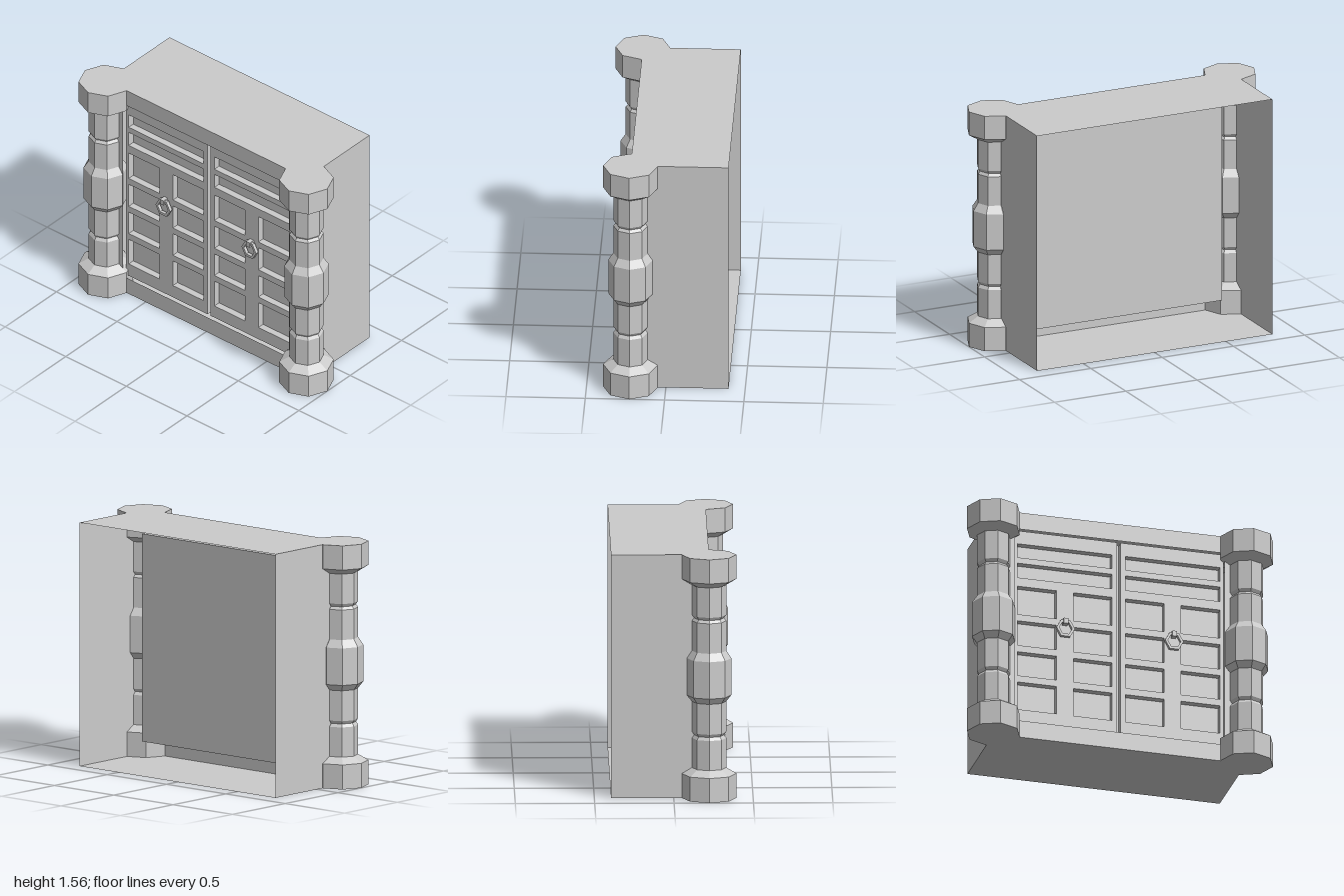
import * as THREE from 'three';

const grey = new THREE.MeshStandardMaterial({ color: 0xcccccc, flatShading: true });
const sheet = new THREE.MeshStandardMaterial({ color: 0xcccccc, flatShading: true, side: THREE.DoubleSide });

const W = 0.825, H = 1.56, BACK = -0.395, FRONT = 0.222;

function add(parent, name, geometry, material = grey, x = 0, y = 0, z = 0) {
  const mesh = new THREE.Mesh(geometry, material);
  mesh.name = name;
  mesh.position.set(x, y, z);
  parent.add(mesh);
  return mesh;
}

// Rectangle outline, as a shape or as a hole
function rect(Type, x0, y0, x1, y1) {
  const p = new Type();
  p.moveTo(x0, y0);
  p.lineTo(x1, y0);
  p.lineTo(x1, y1);
  p.lineTo(x0, y1);
  p.closePath();
  return p;
}

// Thin cabinet shell, open at the back
function addShell(group) {
  const depth = FRONT - BACK, midZ = (FRONT + BACK) / 2;
  for (const [name, y] of [['floor', 0], ['ceiling', H]]) {
    add(group, name, new THREE.PlaneGeometry(2 * W, depth), sheet, 0, y, midZ).rotation.x = -Math.PI / 2;
  }
  for (const s of [-1, 1]) {
    add(group, 'sideWall', new THREE.PlaneGeometry(depth, H), sheet, s * W, H / 2, midZ).rotation.y = s * Math.PI / 2;
  }
  // Front frame around the doors
  const frame = rect(THREE.Shape, -W, 0, W, H);
  frame.holes.push(rect(THREE.Path, -0.685, 0.115, 0.685, 1.445));
  add(group, 'frontFrame', new THREE.ShapeGeometry(frame), sheet, 0, 0, FRONT);
}

// Turned eight-sided column with base, rings, swelling and capital
function addPillar(group, side) {
  const profile = [
    [0, 0], [0.172, 0], [0.172, 0.157], [0.108, 0.195], [0.108, 0.385], [0.094, 0.405], [0.108, 0.425],
    [0.108, 0.62], [0.14, 0.66], [0.14, 0.897], [0.108, 0.945], [0.108, 1.137], [0.094, 1.155],
    [0.108, 1.175], [0.108, 1.367], [0.172, 1.405], [0.172, H], [0, H],
  ].map(([r, y]) => new THREE.Vector2(r, y));
  add(group, 'pillar', new THREE.LatheGeometry(profile, 8), grey, side * 0.828, 0, 0.223);
}

// One door leaf with sunken panels and a ring handle
function addLeaf(group, side) {
  const leaf = new THREE.Group();
  leaf.name = side > 0 ? 'leftDoor' : 'rightDoor';
  const span = (Type, x0, y0, x1, y1) =>
    side > 0 ? rect(Type, x0, y0, x1, y1) : rect(Type, -x1, y0, -x0, y1);

  const face = span(THREE.Shape, 0.012, 0.115, 0.685, 1.445);
  for (const [y0, y1] of [[1.26, 1.355], [1.12, 1.22]]) {
    face.holes.push(span(THREE.Path, 0.045, y0, 0.662, y1));
  }
  for (const [y0, y1] of [[0.865, 1.06], [0.65, 0.82], [0.44, 0.605], [0.205, 0.395]]) {
    for (const [x0, x1] of [[0.045, 0.297], [0.408, 0.662]]) {
      face.holes.push(span(THREE.Path, x0, y0, x1, y1));
    }
  }
  add(leaf, 'panelledFace', new THREE.ExtrudeGeometry(face, { depth: 0.045, bevelEnabled: false }), grey, 0, 0, 0.15);

  // Hexagonal ring hanging from a small lug
  const ring = new THREE.Shape(), hole = new THREE.Path();
  for (const [path, r] of [[ring, 0.06], [hole, 0.042]]) {
    const pts = [];
    for (let i = 0; i < 6; i++) {
      const a = (i * Math.PI) / 3;
      pts.push(new THREE.Vector2(r * Math.cos(a), r * Math.sin(a) * 1.08));
    }
    path.setFromPoints(pts);
    path.closePath();
  }
  ring.holes.push(hole);
  add(leaf, 'handleRing', new THREE.ExtrudeGeometry(ring, { depth: 0.022, bevelEnabled: false }), grey, side * 0.355, 0.795, 0.204);
  add(leaf, 'handleLug', new THREE.BoxGeometry(0.03, 0.036, 0.042), grey, side * 0.355, 0.842, 0.214);
  group.add(leaf);
}

export function createModel() {
  const group = new THREE.Group();
  group.name = 'cabinet';
  addShell(group);
  add(group, 'doorBacking', new THREE.BoxGeometry(1.37, 1.33, 0.11), grey, 0, 0.78, 0.095);
  for (const side of [-1, 1]) {
    addPillar(group, side);
    addLeaf(group, side);
  }
  return group;
}
